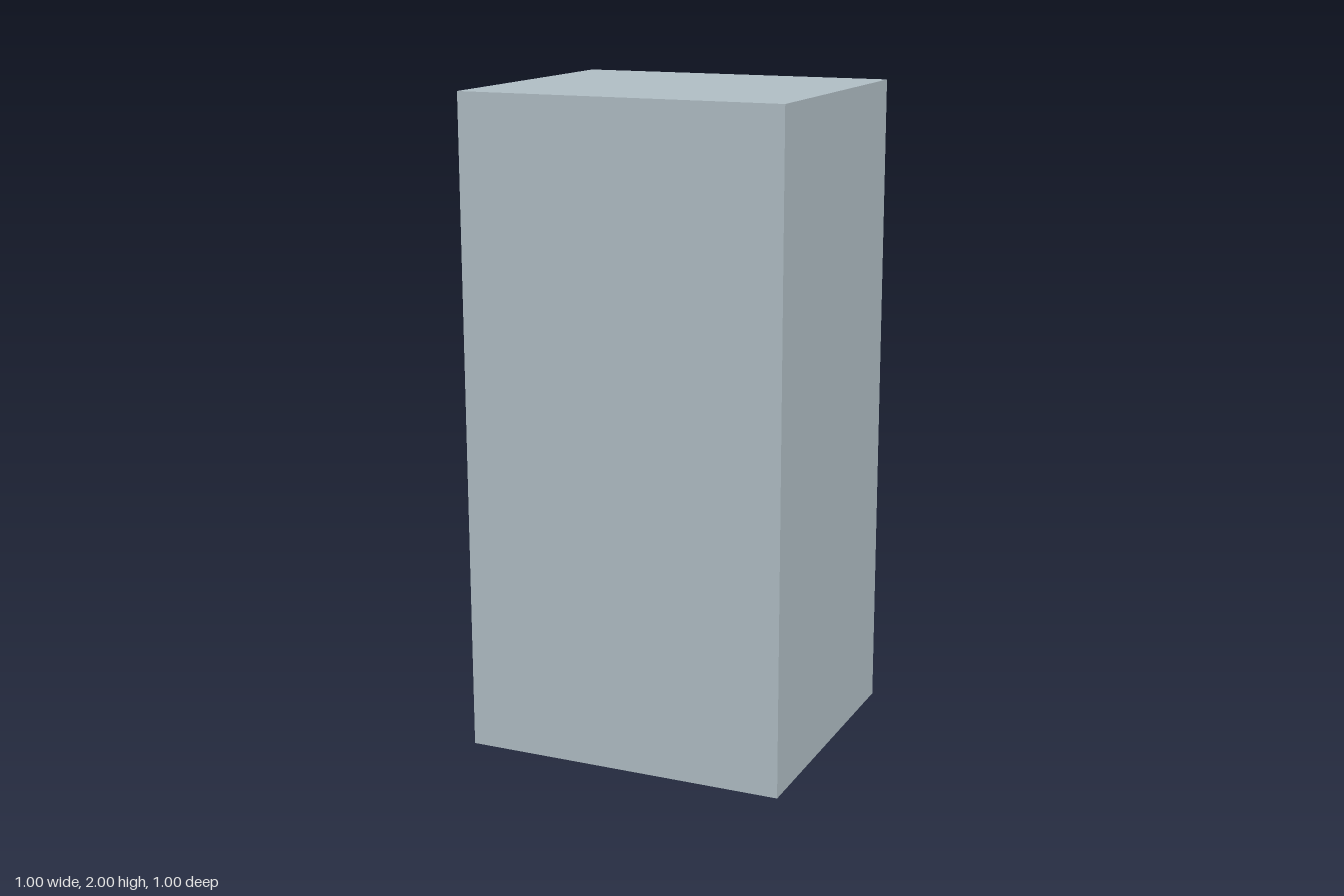
import * as THREE from 'three';

export function createModel() {
  const group = new THREE.Group();
  const enamel = new THREE.MeshStandardMaterial({ color: 0xb0bec5 });
  enamel.name = 'blue grey enamel';

  // Box given by its width and its y and z ranges, centred on x
  const addBox = (name, width, y0, y1, z0, z1) => {
    const mesh = new THREE.Mesh(new THREE.BoxGeometry(width, y1 - y0, z1 - z0), enamel);
    mesh.name = name;
    mesh.position.set(0, (y0 + y1) / 2, (z0 + z1) / 2);
    group.add(mesh);
  };

  // Cabinet with two doors on its -z side
  addBox('cabinet', 1, 0, 2, -0.375, 0.5);
  addBox('upperDoor', 0.875, 0.757, 1.938, -0.5, -0.375);
  addBox('lowerDoor', 0.875, 0.037, 0.72, -0.5, -0.375);

  return group;
}
